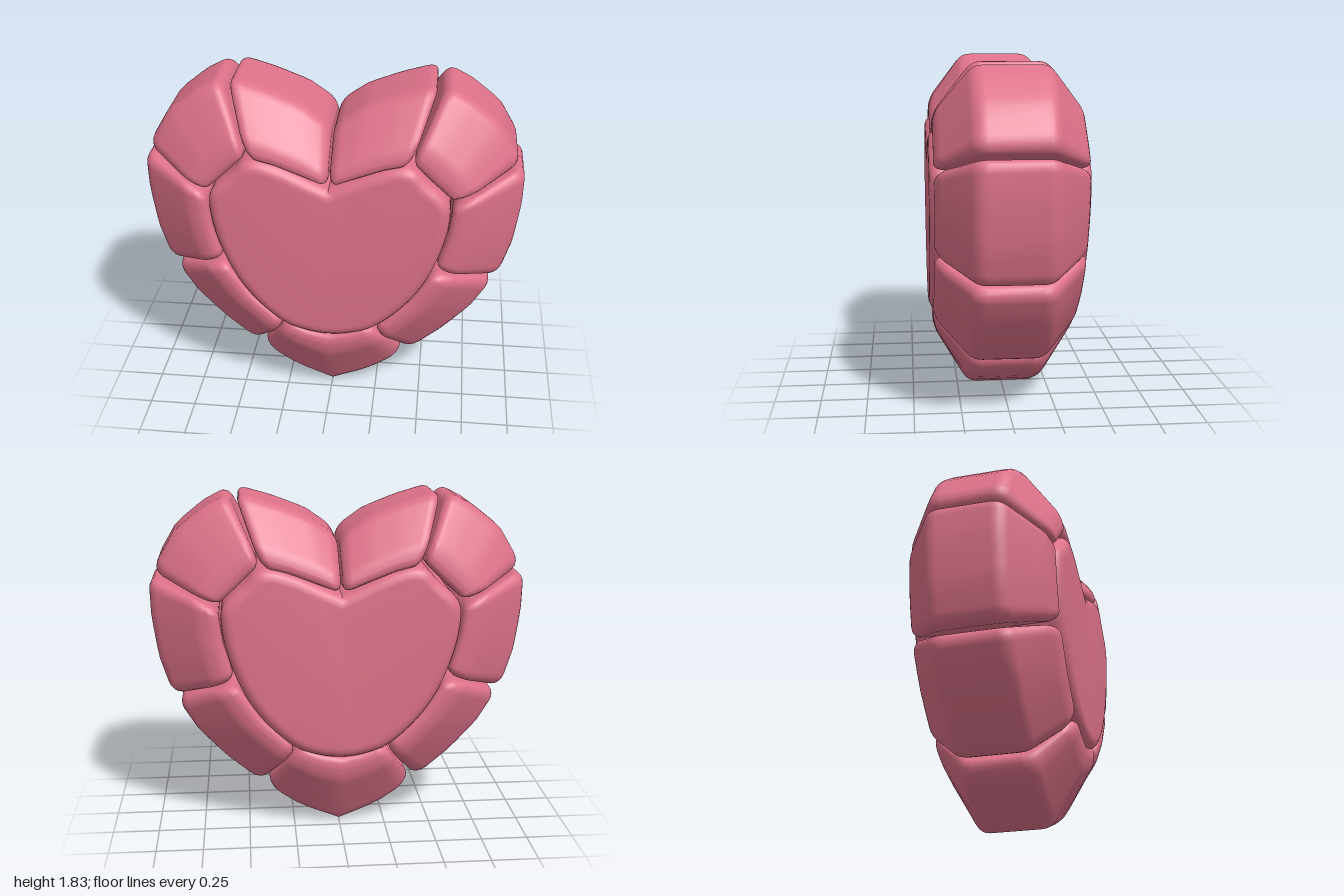
import * as THREE from 'three';
import { toCreasedNormals } from 'three/addons/utils/BufferGeometryUtils.js';

const WIDTH = 0.36; // typical distance from the inner to the outer edge of a stone

// Rounded closed loop of [w, z] points, used as the section of every rim stone
function roundedLoop(corners, trims, steps = 4) {
  const loop = [];
  corners.forEach((c, i) => {
    const n = corners.length;
    const p = new THREE.Vector2(...c);
    const toward = (q) => new THREE.Vector2(...q).sub(p).setLength(trims[i]).add(p);
    const curve = new THREE.QuadraticBezierCurve(
      toward(corners[(i + n - 1) % n]), p, toward(corners[(i + 1) % n]));
    loop.push(...curve.getPoints(steps));
  });
  return loop;
}

const SECTION = roundedLoop(
  [[0, -0.395], [0.1, -0.38], [WIDTH, -0.19], [WIDTH, 0.19], [0.1, 0.38], [0, 0.395]],
  [0.05, 0.045, 0.05, 0.05, 0.045, 0.05]);

// Point at fraction s of an evenly divided polyline
function along(points, s) {
  const f = s * (points.length - 1);
  const i = Math.min(Math.floor(f), points.length - 2);
  return new THREE.Vector2(...points[i]).lerp(new THREE.Vector2(...points[i + 1]), f - i);
}

// Rim stone: the section swept between an inner and an outer edge, ends rounded
function stoneGeometry(inner, outer) {
  const bevel = 0.055, length = 0.46, arcSteps = 5, body = 8;
  const stations = [];
  for (let i = 0; i <= arcSteps; i++) {
    const a = (i / arcSteps) * Math.PI / 2;
    stations.push([bevel * (1 - Math.sin(a)) / length, bevel * (1 - Math.cos(a))]);
  }
  stations.reverse(); // from the full section to the end cap
  const ends = stations.map(([s, inset]) => [s, inset]);
  ends.sort((p, q) => p[0] - q[0]);
  // inset is largest at the end cap
  const first = ends.map(([s], i) => {
    const x = 1 - (s * length) / bevel;
    return [ends[i][0], bevel * (1 - Math.sqrt(Math.max(0, 1 - x * x)))];
  });
  const edge = bevel / length;
  const rings = [...first];
  for (let i = 1; i < body; i++) rings.push([edge + (1 - 2 * edge) * i / body, 0]);
  rings.push(...first.map(([s, inset]) => [1 - s, inset]).reverse());

  const pos = [], index = [], n = SECTION.length, mid = 0.16;
  const put = (s, w, z) => {
    const p = along(inner, s).lerp(along(outer, s), w / WIDTH);
    pos.push(p.x, p.y, z);
  };
  for (const [s, inset] of rings) {
    const kw = 1 - inset / 0.18, kz = 1 - inset / 0.36;
    for (const p of SECTION) put(s, mid + (p.x - mid) * kw, p.y * kz);
  }
  put(0, mid, 0);
  put(1, mid, 0);
  const last = (rings.length - 1) * n, startCap = rings.length * n;
  for (let j = 0; j < n; j++) {
    const k = (j + 1) % n;
    for (let i = 0; i < rings.length - 1; i++) {
      const a = i * n + j, b = i * n + k;
      index.push(a, b, b + n, a, b + n, a + n);
    }
    index.push(startCap, k, j, startCap + 1, last + j, last + k);
  }
  const g = new THREE.BufferGeometry();
  g.setAttribute('position', new THREE.Float32BufferAttribute(pos, 3));
  g.setIndex(index);
  g.computeVertexNormals();
  return g;
}

const mirror = (points) => points.map(([x, y]) => [-x, y]).reverse();

// Stones of the +x half, from the cleft down
const STONES = [
  { name: 'TopStone',
    inner: [[0.005, 1.35], [0.13, 1.4], [0.27, 1.455], [0.41, 1.49]],
    outer: [[0.005, 1.61], [0.16, 1.72], [0.34, 1.79], [0.545, 1.85]] },
  { name: 'ShoulderStone',
    inner: [[0.42, 1.51], [0.53, 1.4], [0.64, 1.3]],
    outer: [[0.575, 1.84], [0.71, 1.77], [0.86, 1.65], [0.985, 1.44]] },
  { name: 'SideStone',
    inner: [[0.64, 1.285], [0.615, 1.1], [0.56, 0.9]],
    outer: [[1.0, 1.42], [0.995, 1.2], [0.965, 0.98], [0.895, 0.755]] },
  { name: 'LowerStone',
    inner: [[0.56, 0.88], [0.42, 0.68], [0.24, 0.51]],
    outer: [[0.88, 0.74], [0.77, 0.56], [0.62, 0.4], [0.43, 0.24]] },
];

export function createModel() {
  const pink = new THREE.MeshStandardMaterial({ color: 0xde728a });
  pink.name = 'rose pink';
  const model = new THREE.Group();
  model.name = 'segmentedHeart';
  const add = (name, geometry) => {
    const mesh = new THREE.Mesh(geometry, pink);
    mesh.name = name;
    model.add(mesh);
  };

  // Rim stones, mirrored in pairs
  for (const { name, inner, outer } of STONES) {
    add('left' + name, stoneGeometry(inner, outer));
    add('right' + name, stoneGeometry(mirror(inner), mirror(outer)));
  }

  // Pointed bottom stone
  add('bottomStone', stoneGeometry(
    [[0.23, 0.52], [0.115, 0.47], [0, 0.45], [-0.115, 0.47], [-0.23, 0.52]],
    [[0.41, 0.22], [0.21, 0.085], [0, 0], [-0.21, 0.085], [-0.41, 0.22]]));

  // Heart-shaped core with rounded rims, running through from front to back
  const half = [[0.1, 1.385], [0.24, 1.45], [0.36, 1.485], [0.44, 1.47], [0.5, 1.405],
    [0.59, 1.325], [0.625, 1.24], [0.6, 1.05], [0.52, 0.83], [0.4, 0.65], [0.25, 0.515],
    [0.12, 0.465]];
  const outline = [[0, 1.34], ...half, [0, 0.45], ...mirror(half), [0, 1.34]];
  const curve = new THREE.SplineCurve(outline.map((p) => new THREE.Vector2(...p)));
  const shape = new THREE.Shape(curve.getPoints(104).slice(0, -1));
  const bevel = 0.06, depth = 0.82 - 2 * bevel;
  const core = new THREE.ExtrudeGeometry(shape, {
    depth, bevelEnabled: true, bevelThickness: bevel, bevelSize: bevel,
    bevelOffset: -bevel, bevelSegments: 5 });
  core.translate(0, 0, -depth / 2);
  add('heartCore', toCreasedNormals(core, 0.7));

  return model;
}
